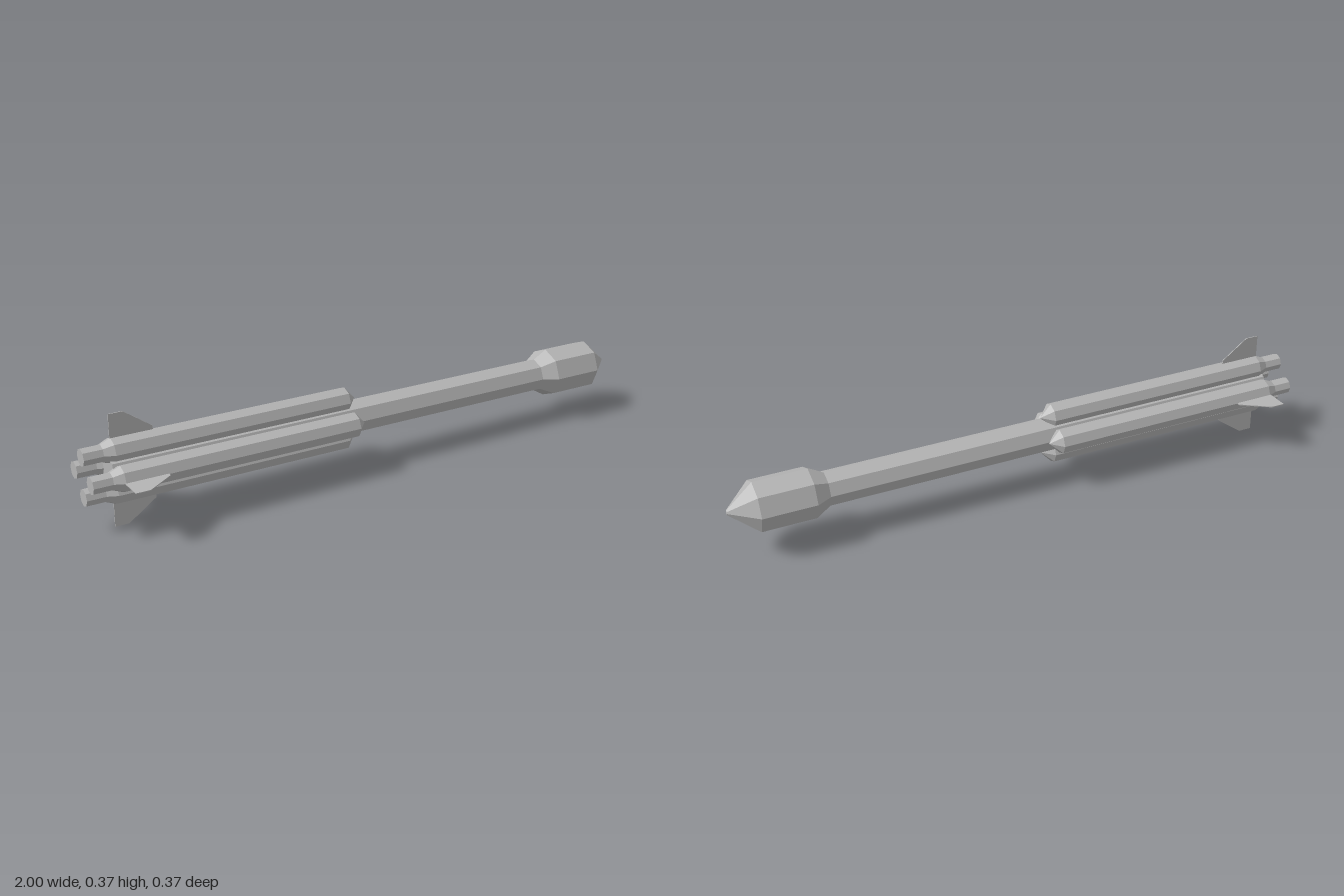
import * as THREE from 'three';

const grey = new THREE.MeshStandardMaterial({ color: 0xb4b4b4 });

// Faceted mesh with hard edges
function facetedMesh(geometry, name) {
  const flat = geometry.index ? geometry.toNonIndexed() : geometry;
  flat.computeVertexNormals();
  const mesh = new THREE.Mesh(flat, grey);
  mesh.name = name;
  return mesh;
}

// Eight-sided turned body lying along x, from [x, radius] pairs, tail to nose
function turnedBody(profile, name) {
  const points = profile.map(([x, r]) => new THREE.Vector2(r, x));
  return facetedMesh(new THREE.LatheGeometry(points, 8).rotateZ(-Math.PI / 2), name);
}

export function createModel() {
  const rocket = new THREE.Group();
  rocket.name = 'rocket';

  // Core stage
  rocket.add(turnedBody([[-0.92, 0], [-0.92, 0.057], [0.69, 0.057], [0.69, 0]], 'coreStage'));

  // Payload fairing with a blunt cone
  rocket.add(turnedBody(
    [[0.685, 0.057], [0.735, 0.085], [0.912, 0.085], [0.998, 0.008], [1, 0]], 'payloadFairing'));

  // Four boosters, each with a nozzle and a tail fin
  const finShape = new THREE.Shape([
    [-0.908, 0.06], [-0.77, 0.06], [-0.77, 0.118], [-0.862, 0.183], [-0.908, 0.183],
  ].map(([x, y]) => new THREE.Vector2(x, y)));

  for (let i = 0; i < 4; i++) {
    const arm = new THREE.Group();
    arm.name = `boosterAssembly${i + 1}`;

    const booster = turnedBody(
      [[-0.94, 0.027], [-0.905, 0.042], [-0.1, 0.042], [-0.062, 0]], 'booster');
    const nozzle = turnedBody([[-1, 0], [-1, 0.028], [-0.93, 0.028]], 'nozzle');
    booster.position.y = nozzle.position.y = 0.065;

    const finGeometry = new THREE.ExtrudeGeometry(finShape, { depth: 0.003, bevelEnabled: false });
    const fin = facetedMesh(finGeometry.translate(0, 0, -0.0015), 'tailFin');

    arm.add(booster, nozzle, fin);
    arm.rotation.x = i * Math.PI / 2;
    rocket.add(arm);
  }

  // The whole rocket lies with its nose slightly lowered
  rocket.rotation.set(0, 0.002, -0.01);
  rocket.position.set(0, 0.175, -0.002);

  const model = new THREE.Group();
  model.name = 'model';
  model.add(rocket);
  return model;
}
